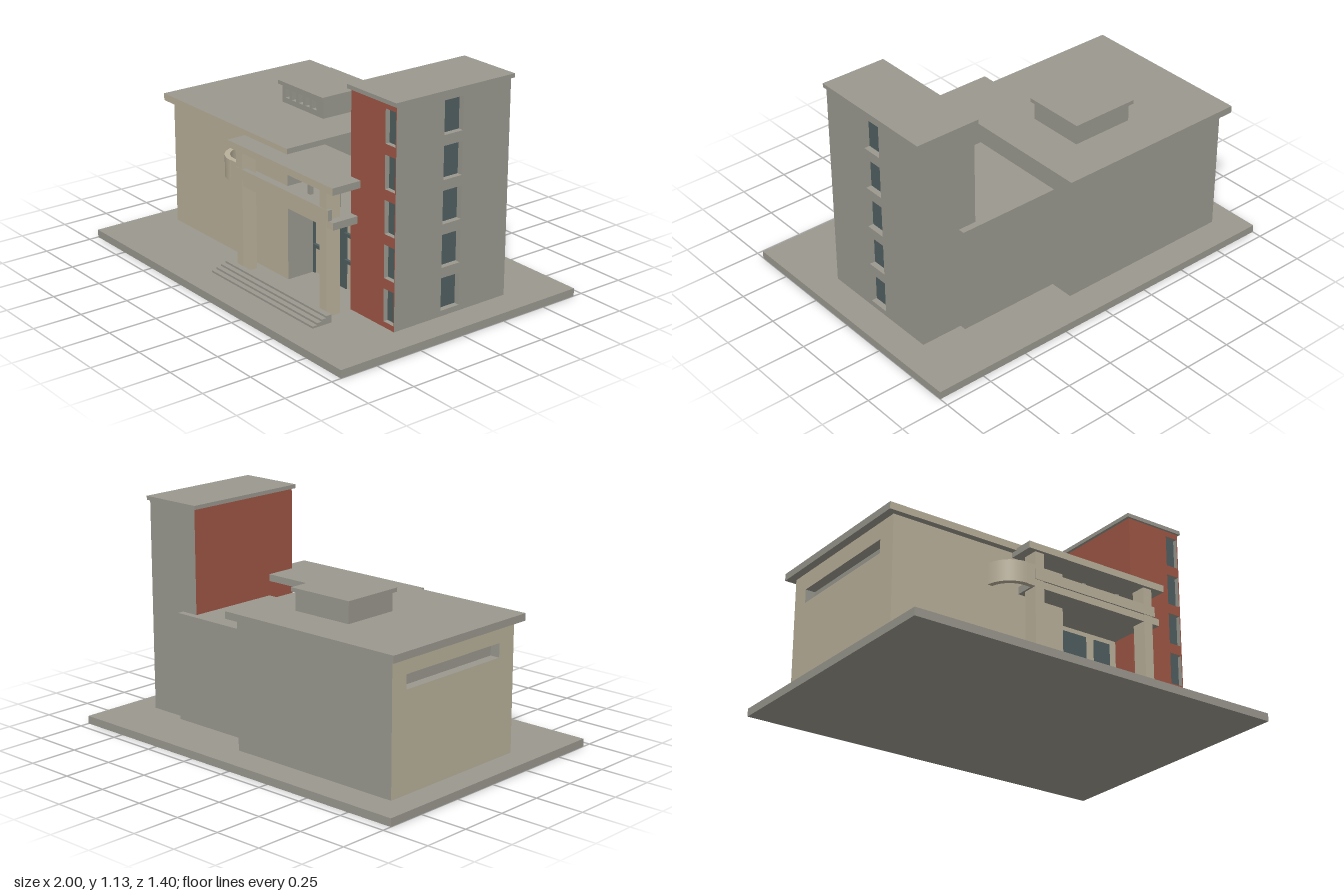
import * as THREE from 'three';

const material = (name, color) => Object.assign(new THREE.MeshStandardMaterial({ color }), { name });

export function createModel() {
  const grey = material('concrete grey', 0x9a988e);
  const beige = material('plaster beige', 0xb9b09a);
  const red = material('brick red', 0x9f5645);
  const glass = material('dark glass', 0x4f5e5f);
  const facade = [grey, grey, grey, grey, beige, grey]; // only the front is plastered

  const model = new THREE.Group();
  model.name = 'building';
  const add = (parent, name, geometry, mat) => {
    const mesh = new THREE.Mesh(geometry, mat);
    mesh.name = name;
    parent.add(mesh);
    return mesh;
  };
  const group = (name) => {
    const g = new THREE.Group();
    g.name = name;
    model.add(g);
    return g;
  };
  // Box given by its limits on each axis
  const box = (parent, name, [x0, x1], [y0, y1], [z0, z1], mat) => {
    const g = new THREE.BoxGeometry(x1 - x0, y1 - y0, z1 - z0);
    g.translate((x0 + x1) / 2, (y0 + y1) / 2, (z0 + z1) / 2);
    return add(parent, name, g, mat);
  };
  // Wall in the xy plane with rectangular openings, thickened along +z
  const rect = (target, [u0, u1], [v0, v1]) => {
    target.moveTo(u0, v0);
    target.lineTo(u1, v0);
    target.lineTo(u1, v1);
    target.lineTo(u0, v1);
    target.closePath();
    return target;
  };
  const wall = (parent, name, u, v, openings, depth, mats) => {
    const shape = rect(new THREE.Shape(), u, v);
    openings.forEach(([hu, hv]) => shape.holes.push(rect(new THREE.Path(), hu, hv)));
    return add(parent, name, new THREE.ExtrudeGeometry(shape, { depth, bevelEnabled: false }), mats);
  };

  box(model, 'base', [-1, 1], [0, 0.04], [-0.7, 0.7], grey);

  // Main hall, with a long recessed slot in its outer side
  const hall = group('hall');
  box(hall, 'hallBody', [-0.815, 0.09], [0.04, 0.686], [-0.545, 0.3], grey);
  box(hall, 'hallFront', [-0.865, 0.09], [0.04, 0.686], [0.3, 0.305], [grey, beige, grey, grey, beige, grey]);
  const slotWall = wall(hall, 'hallSlotWall', [-0.545, 0.3], [0.04, 0.686], [[[-0.45, 0.2], [0.53, 0.6]]], 0.05, [beige, grey]);
  slotWall.rotation.y = -Math.PI / 2;
  slotWall.position.x = -0.815;
  box(hall, 'hallRoof', [-0.905, 0.13], [0.686, 0.722], [-0.583, 0.338], facade);

  // Roof vent with five small openings
  const vent = group('roofVent');
  box(vent, 'ventBody', [-0.435, -0.103], [0.722, 0.815], [-0.355, -0.08], grey);
  const slits = [-0.392, -0.338, -0.284, -0.23, -0.176].map((x) => [[x - 0.017, x + 0.017], [0.75, 0.797]]);
  wall(vent, 'ventFront', [-0.435, -0.103], [0.722, 0.815], slits, 0.025, grey).position.z = -0.08;
  box(vent, 'ventRoof', [-0.45, -0.09], [0.815, 0.835], [-0.37, -0.04], grey);

  // Tower: red front and inner side, recessed windows on the front and outer side
  const tower = group('tower');
  const floors = [0, 1, 2, 3, 4].map((i) => [0.068 + i * 0.213, 0.23 + i * 0.213]);
  box(tower, 'towerCore', [0.539, 0.815], [0.04, 1.11], [-0.387, 0.25], grey);
  box(tower, 'towerRedSide', [0.535, 0.539], [0.04, 1.11], [-0.387, 0.28], [grey, red, grey, grey, red, grey]);
  wall(tower, 'towerFront', [0.539, 0.85], [0.04, 1.11], floors.map((v) => [[0.775, 0.845], v]), 0.03, [red, grey]).position.z = 0.25;
  const sideWall = wall(tower, 'towerOuterSide', [-0.25, 0.387], [0.04, 1.11], floors.map((v) => [[-0.005, 0.105], v]), 0.035, grey);
  sideWall.rotation.y = Math.PI / 2;
  sideWall.position.x = 0.815;
  floors.forEach((v) => {
    box(tower, 'frontWindow', [0.775, 0.845], v, [0.25, 0.256], glass);
    box(tower, 'sideWindow', [0.815, 0.821], v, [-0.105, 0.005], glass);
  });
  box(tower, 'towerRoof', [0.52, 0.86], [1.11, 1.13], [-0.4, 0.292], grey);

  // Linking block with the glazed entrance
  const entrance = group('entrance');
  box(entrance, 'linkBlock', [0.09, 0.63], [0.04, 0.585], [-0.42, 0.115], facade);
  box(entrance, 'entranceWall', [0.09, 0.535], [0.04, 0.5], [0.115, 0.15], facade);
  [[0.092, 0.105], [0.155, 0.347], [0.398, 0.492]].forEach((x) =>
    box(entrance, 'entranceGlass', x, [0.04, 0.455], [0.15, 0.158], glass));
  [[0.1, 0.16], [0.342, 0.403]].forEach((x) => [0.185, 0.32].forEach((y) =>
    box(entrance, 'entranceBar', x, [y - 0.008, y + 0.008], [0.15, 0.165], glass)));

  // Porch: columns, slab, beam and raised canopy
  const porch = group('porch');
  [-0.16, 0.49].forEach((x) => box(porch, 'column', [x, x + 0.05], [0.04, 0.66], [0.345, 0.424], beige));
  box(porch, 'porchSlab', [-0.17, 0.585], [0.482, 0.518], [0.115, 0.42], facade);
  box(porch, 'porchBeam', [-0.16, 0.555], [0.518, 0.57], [0.403, 0.427], facade);
  box(porch, 'canopy', [-0.205, 0.605], [0.66, 0.695], [0.115, 0.44], facade);
  [0.235, 0.44].forEach((x) => box(porch, 'canopyPost', [x - 0.01, x + 0.01], [0.518, 0.66], [0.27, 0.29], grey));

  // Curved quarter-ring balcony screen
  const ring = new THREE.Shape();
  ring.absarc(0, 0, 0.142, Math.PI / 2, Math.PI, false);
  ring.absarc(0, 0, 0.115, Math.PI, Math.PI / 2, true);
  ring.closePath();
  const screen = new THREE.ExtrudeGeometry(ring, { depth: 0.108, bevelEnabled: false, curveSegments: 16 });
  screen.rotateX(Math.PI / 2);
  screen.translate(-0.205, 0.59, 0.285);
  add(porch, 'curvedScreen', screen, beige);
  box(porch, 'screenReturn', [-0.205, -0.16], [0.482, 0.59], [0.4, 0.424], beige);

  // Entrance steps
  for (let i = 0; i < 4; i++) {
    box(porch, 'step', [-0.203, 0.596], [0.04 + i * 0.01, 0.05 + i * 0.01], [0.437, 0.545 - i * 0.026], grey);
  }
  return model;
}
